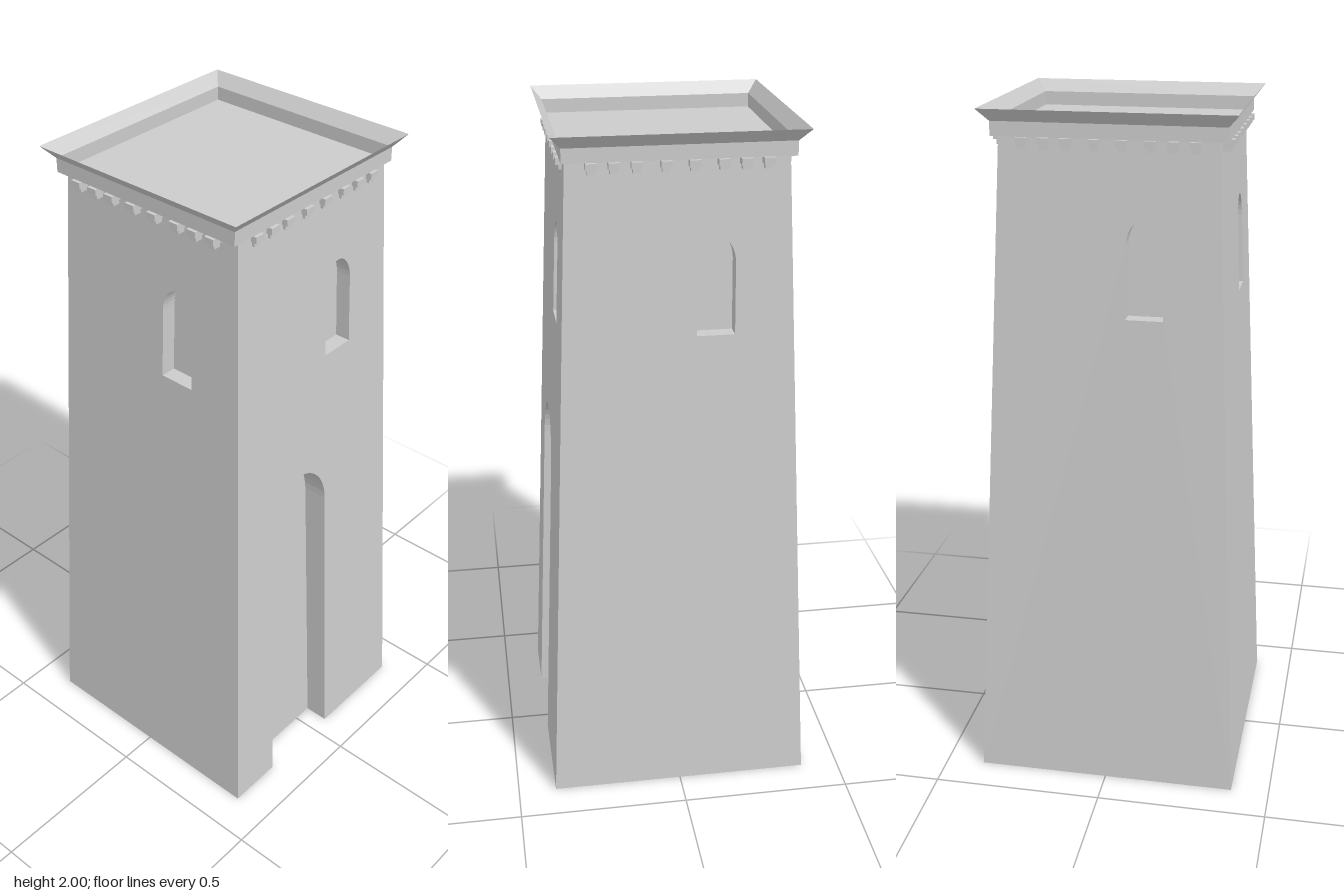
import * as THREE from 'three';

const mat = new THREE.MeshStandardMaterial({ color: 0xcccccc, flatShading: true, side: THREE.DoubleSide });
const WALL_TOP = 1.925, BASE = 0.387, TAPER = 0.0455;
const halfAt = (y) => BASE - TAPER * y;

// Arched outline: tapering jambs below a half-ellipse, from lower left to lower right
function archPoints(cx, wBottom, wSpring, yBottom, ySpring, yTop, n = 16) {
  const pts = [new THREE.Vector2(cx - wBottom, yBottom)];
  for (let i = 0; i <= n; i++) {
    const a = Math.PI * (1 - i / n);
    pts.push(new THREE.Vector2(cx + wSpring * Math.cos(a), ySpring + (yTop - ySpring) * Math.sin(a)));
  }
  pts.push(new THREE.Vector2(cx + wBottom, yBottom));
  return pts;
}

// Lay a flat outline on the leaning front wall, sunk by depth
function lean(geo, depth = 0) {
  const p = geo.attributes.position;
  for (let i = 0; i < p.count; i++) p.setZ(i, halfAt(p.getY(i)) - depth);
  geo.computeVertexNormals();
  return geo;
}

// Reveal strip joining an opening's edge to its sunken panel
function reveal(pts, depth, closed) {
  const pos = [], idx = [];
  const loop = closed ? [...pts, pts[0]] : pts;
  loop.forEach((q, i) => {
    pos.push(q.x, q.y, halfAt(q.y), q.x, q.y, halfAt(q.y) - depth);
    if (i) {
      const a = 2 * (i - 1);
      idx.push(a, a + 1, a + 2, a + 1, a + 3, a + 2);
    }
  });
  const geo = new THREE.BufferGeometry();
  geo.setAttribute('position', new THREE.Float32BufferAttribute(pos, 3));
  geo.setIndex(idx);
  geo.computeVertexNormals();
  return geo;
}

function add(parent, name, geo) {
  const mesh = new THREE.Mesh(geo, mat);
  mesh.name = name;
  parent.add(mesh);
  return mesh;
}

// One side of the tower: leaning wall, window niche and optional door niche
function makeSide(hasDoor) {
  const side = new THREE.Group();
  const door = archPoints(-0.077, 0.137, 0.128, 0, 0.94, 1.088, 20);
  const win = archPoints(0.103, 0.053, 0.053, 1.437, 1.64, 1.713);
  const top = halfAt(WALL_TOP);
  const outline = [new THREE.Vector2(-BASE, 0)];
  if (hasDoor) outline.push(...door);
  outline.push(new THREE.Vector2(BASE, 0), new THREE.Vector2(top, WALL_TOP), new THREE.Vector2(-top, WALL_TOP));
  const shape = new THREE.Shape(outline);
  shape.holes.push(new THREE.Path(win));
  add(side, 'wall', lean(new THREE.ShapeGeometry(shape)));
  add(side, 'windowPanel', lean(new THREE.ShapeGeometry(new THREE.Shape(win)), 0.045));
  add(side, 'windowReveal', reveal(win, 0.045, true));
  if (hasDoor) {
    add(side, 'doorPanel', lean(new THREE.ShapeGeometry(new THREE.Shape(door)), 0.074));
    add(side, 'doorReveal', reveal(door, 0.074, false));
  }
  return side;
}

// Open four-sided ring with the given half-widths at bottom and top
function ring(h0, h1, y0, y1) {
  const geo = new THREE.CylinderGeometry(h1 * Math.SQRT2, h0 * Math.SQRT2, y1 - y0, 4, 1, true);
  return geo.rotateY(Math.PI / 4).translate(0, (y0 + y1) / 2, 0);
}

export function createModel() {
  const tower = new THREE.Group();
  tower.name = 'tower';

  // Four walls, the door on the front only
  ['front', 'right', 'back', 'left'].forEach((name, i) => {
    const side = makeSide(i === 0);
    side.name = name + 'Side';
    side.rotation.y = i * Math.PI / 2;
    tower.add(side);
  });

  // Roof: sunken deck, upright band and flared rim, slightly narrower in depth
  const HX = 0.3205, HZ = 0.312;
  const roof = new THREE.Group();
  roof.name = 'roof';
  roof.position.set(-0.002, 0, -0.003);
  const crown = new THREE.Group();
  crown.name = 'crown';
  crown.scale.z = HZ / HX;
  add(crown, 'deck', new THREE.PlaneGeometry(2 * HX, 2 * HX).rotateX(-Math.PI / 2).translate(0, WALL_TOP, 0));
  add(crown, 'band', ring(HX, HX, WALL_TOP, 1.965));
  add(crown, 'flaredRim', ring(HX, 0.351, 1.965, 2));
  roof.add(crown);

  // Rows of small stepped corbels below the band
  const offsets = [0.0375, 0.115, 0.175, 0.235].flatMap((v) => [-v, v]);
  for (let i = 0; i < 4; i++) {
    const row = new THREE.Group();
    row.name = 'corbelRow';
    row.rotation.y = i * Math.PI / 2;
    const edge = i % 2 ? HX : HZ;
    for (const x of offsets) {
      add(row, 'corbelTop', new THREE.BoxGeometry(0.03, 0.018, 0.042)).position.set(x, WALL_TOP - 0.0095, edge - 0.012);
      add(row, 'corbelFoot', new THREE.BoxGeometry(0.021, 0.014, 0.032)).position.set(x, WALL_TOP - 0.025, edge - 0.016);
    }
    roof.add(row);
  }
  tower.add(roof);
  return tower;
}
